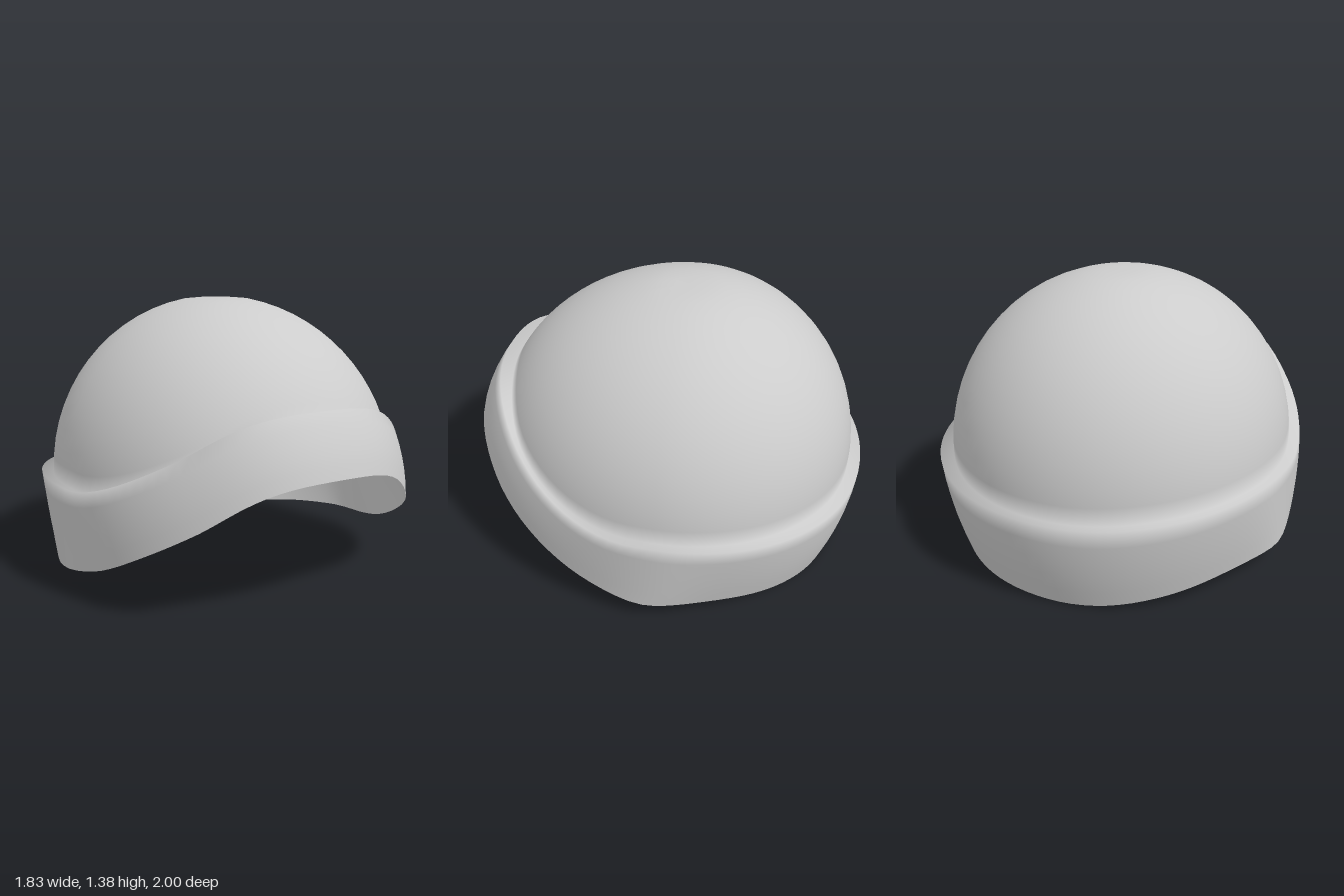
import * as THREE from 'three';

const SEG = 96;

// Height of a hem as a function of s, running from back (-1) to front (1)
const heightCurve = (ys) => {
  const curve = new THREE.SplineCurve(ys.map((y, i) => new THREE.Vector2(i, y)));
  return (s) => curve.getPoint((s + 1) / 2).y;
};
const hemY = heightCurve([0, 0.048, 0.087, 0.108, 0.118, 0.175, 0.29, 0.445, 0.66]);
const rimY = heightCurve([0.46, 0.485, 0.503, 0.515, 0.52, 0.53, 0.6, 0.735, 0.94]);

const soft = (v) => Math.sign(v) * Math.abs(v) ** 0.96;

// Lower edge of the folded band, slightly flared above the ears
function hemPoint(a) {
  const c = soft(Math.cos(a)), s = soft(Math.sin(a));
  const z = 0.05 + 0.95 * s;
  const halfWidth = 0.865 + 0.04 * Math.exp(-(((z + 0.05) / 0.22) ** 2));
  return new THREE.Vector3(halfWidth * c, hemY(s), z);
}

// Upper edge of the folded band
function rimPoint(a) {
  const c = soft(Math.cos(a)), s = soft(Math.sin(a));
  return new THREE.Vector3(0.915 * c, rimY(s), -0.0675 + 0.9325 * s);
}

// Ellipsoidal crown, longer at the front, with a small flat top;
// t runs from its base inside the rim (0) to the top (1)
function crownPoint(a, t) {
  const c = Math.cos(a), s = Math.sin(a);
  const baseY = rimY(s) - 0.015 - 0.02 * Math.max(0, s);
  const low = Math.asin((baseY - 0.5) / 0.895);
  const lat = low + (Math.PI / 2 - low) * t;
  const r = Math.cos(lat);
  return new THREE.Vector3(
    0.86 * r * c,
    Math.min(1.385, 0.5 + 0.895 * Math.sin(lat)),
    -0.08 + (s > 0 ? 1.0 : 0.86) * r * s
  );
}

function bandPoint(a, t) {
  const p = hemPoint(a).lerp(rimPoint(a), t);
  const bulge = 0.07 * t * (1 - t) * Math.abs(Math.sin(a));
  p.x += bulge * Math.cos(a);
  p.z += bulge * Math.sin(a);
  return p;
}

export function createModel() {
  const group = new THREE.Group();
  group.name = 'knitCap';
  const wool = new THREE.MeshStandardMaterial({ color: 0xcccccc, side: THREE.DoubleSide });
  wool.name = 'grey wool';

  // Rings from the hem over the rim and up to the crown
  const rings = [0, 0.2, 0.4, 0.6, 0.8, 1].map((t) => (a) => bandPoint(a, t));
  const bandRings = rings.length;
  for (let i = 0; i <= 16; i++) rings.push((a) => crownPoint(a, i / 16));

  const positions = [];
  for (const ring of rings) {
    for (let i = 0; i < SEG; i++) positions.push(...ring((i / SEG) * Math.PI * 2).toArray());
  }
  const rows = (from, to) => {
    const index = [];
    for (let j = from; j < to; j++) {
      for (let i = 0; i < SEG; i++) {
        const a = j * SEG + i, b = j * SEG + ((i + 1) % SEG);
        index.push(a, a + SEG, b, b, a + SEG, b + SEG);
      }
    }
    return index;
  };

  // Normals are shared over the whole sheet so the fold stays soft
  const sheet = new THREE.BufferGeometry();
  sheet.setAttribute('position', new THREE.Float32BufferAttribute(positions, 3));
  sheet.setIndex(rows(0, rings.length - 1));
  sheet.computeVertexNormals();

  const addPart = (name, from, to) => {
    const geometry = sheet.clone();
    geometry.setIndex(rows(from, to));
    const mesh = new THREE.Mesh(geometry, wool);
    mesh.name = name;
    group.add(mesh);
  };
  addPart('foldedBand', 0, bandRings);
  addPart('crown', bandRings, rings.length - 1);
  return group;
}
